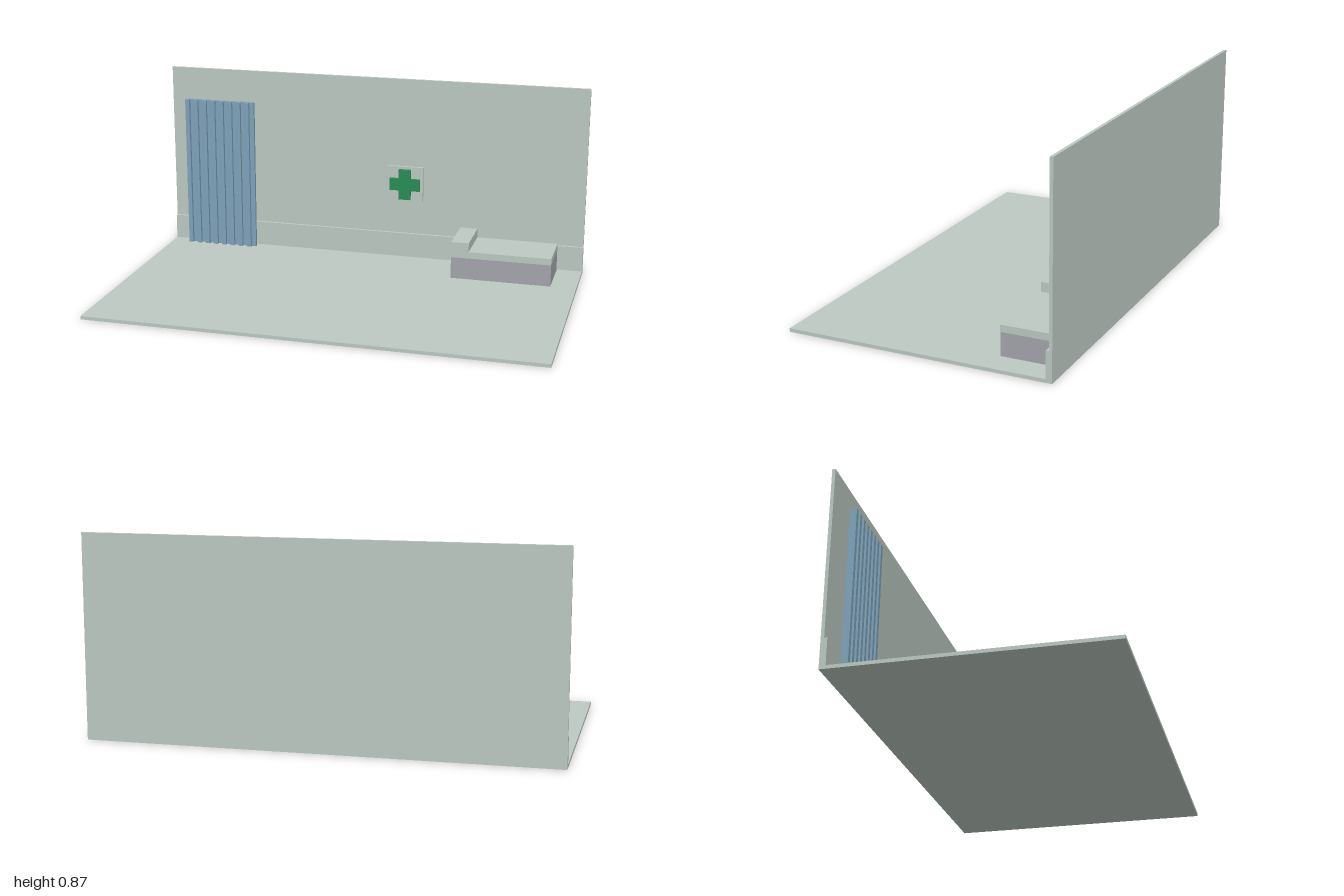
import * as THREE from 'three';

const material = (name, color) => {
  const m = new THREE.MeshStandardMaterial({ color });
  m.name = name;
  return m;
};

export function createModel() {
  const model = new THREE.Group();
  model.name = 'clinicRoom';

  const pale = material('paleSage', 0xbdc9c2);
  const blue = material('curtainBlue', 0x7fa3ba);
  const green = material('crossGreen', 0x2a8c55);
  const grey = material('bedGrey', 0xa3a5ab);

  // Box given by its extents on each axis
  const box = (name, mat, [x0, x1], [y0, y1], [z0, z1], parent = model) => {
    const mesh = new THREE.Mesh(new THREE.BoxGeometry(x1 - x0, y1 - y0, z1 - z0), mat);
    mesh.position.set((x0 + x1) / 2, (y0 + y1) / 2, (z0 + z1) / 2);
    mesh.name = name;
    parent.add(mesh);
    return mesh;
  };
  const group = (name) => {
    const g = new THREE.Group();
    g.name = name;
    model.add(g);
    return g;
  };

  // Room shell
  box('floor', pale, [-1, 1], [0, 0.015], [-0.563, 0.577]);
  box('backWall', pale, [-1, 1], [0, 0.873], [-0.577, -0.563]);
  box('wallSkirting', pale, [-1, 1], [0.015, 0.13], [-0.563, -0.55]);

  // Pleated curtain: a flat sheet with eight raised folds
  const curtain = group('curtain');
  box('curtainSheet', blue, [-0.915, -0.575], [0.015, 0.73], [-0.525, -0.511], curtain);
  for (let i = 0; i < 8; i++) {
    const x = -0.905 + i * 0.0426;
    box('curtainFold', blue, [x - 0.01, x + 0.01], [0.015, 0.73], [-0.511, -0.496], curtain);
  }

  // Wall sign: plaque with a raised cross
  const sign = group('wallSign');
  box('signPlaque', pale, [0.071, 0.242], [0.288, 0.458], [-0.563, -0.55], sign);
  const arm = 0.0725, half = 0.0285;
  const outline = [
    [-half, -arm], [half, -arm], [half, -half], [arm, -half], [arm, half], [half, half],
    [half, arm], [-half, arm], [-half, half], [-arm, half], [-arm, -half], [-half, -half],
  ].map(([x, y]) => new THREE.Vector2(x, y));
  const cross = new THREE.Mesh(
    new THREE.ExtrudeGeometry(new THREE.Shape(outline), { depth: 0.014, bevelEnabled: false }),
    green
  );
  cross.position.set(0.156, 0.373, -0.55);
  cross.name = 'signCross';
  sign.add(cross);

  // Bed: solid base, mattress and pillow
  const bed = group('bed');
  const depth = [-0.535, -0.308];
  box('bedBase', grey, [0.428, 0.884], [0.015, 0.115], depth, bed);
  box('mattress', pale, [0.428, 0.884], [0.115, 0.145], depth, bed);
  box('pillow', pale, [0.428, 0.509], [0.145, 0.187], depth, bed);

  return model;
}
